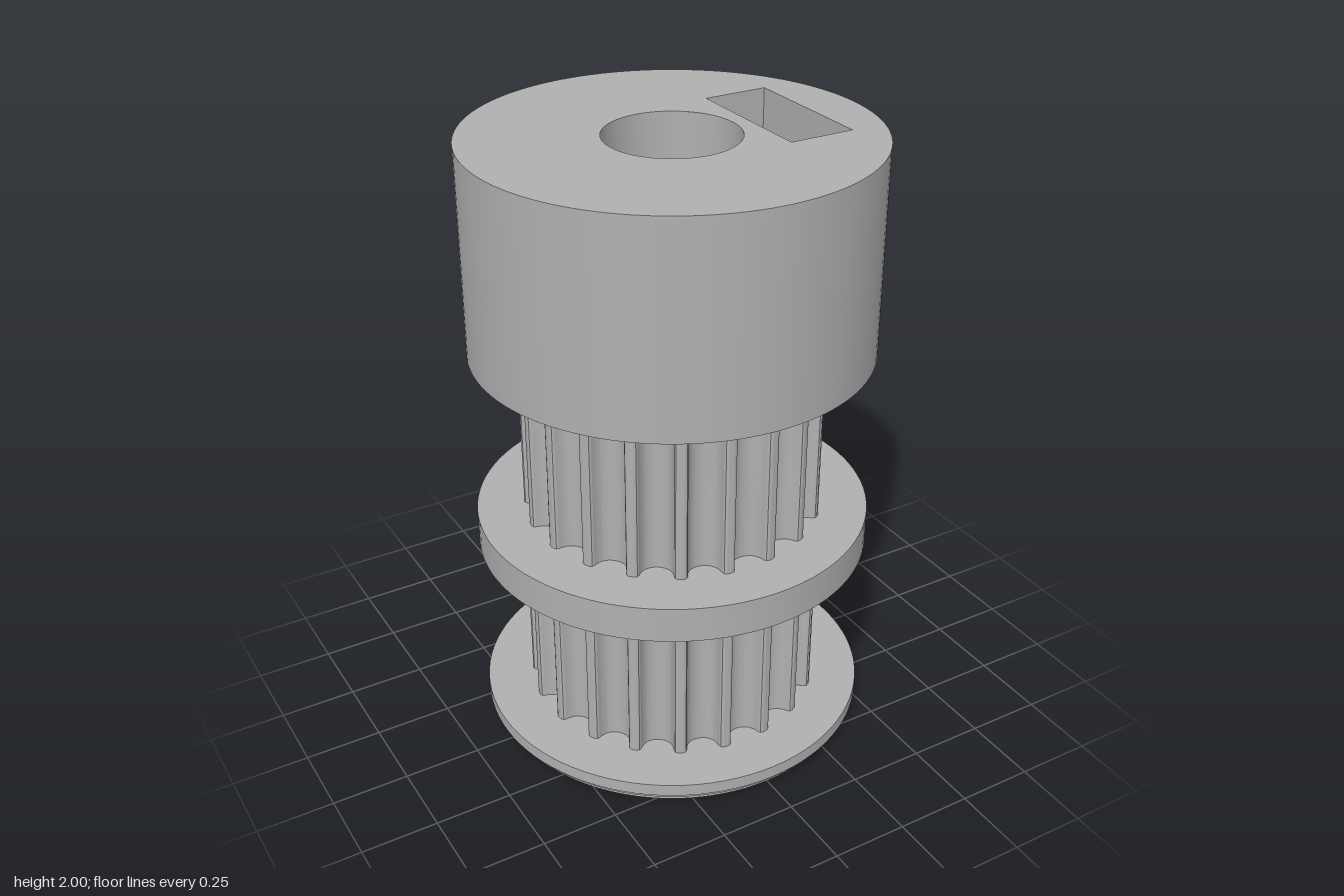
import * as THREE from 'three';
import { toCreasedNormals } from 'three/addons/utils/BufferGeometryUtils.js';
import { ParametricGeometry } from 'three/addons/geometries/ParametricGeometry.js';

const R = 0.638, BORE = 0.21, SEG = 96;
const HUB_Y = 1.325, TOP = 2;                 // hub extent
const HOLE_Y = 1.705, HOLE_R = 0.125;         // grub screw hole, along +x
const SLOT_IN = 0.26, SLOT_OUT = 0.475, SLOT_W = 0.235;
const TEETH = 20;

const metal = new THREE.MeshStandardMaterial({ color: 0xb0b0b0, side: THREE.DoubleSide });
metal.name = 'grey metal';

function add(group, name, geometry) {
  const mesh = new THREE.Mesh(geometry, metal);
  mesh.name = name;
  group.add(mesh);
  return mesh;
}

function circlePath(x, y, r) {
  return new THREE.Path().absarc(x, y, r, 0, Math.PI * 2, true);
}

// Solid of revolution with crisp corners; the profile is closed
function turned(points) {
  const pts = [...points, points[0]].map(([r, y]) => new THREE.Vector2(r, y));
  return toCreasedNormals(new THREE.LatheGeometry(pts, SEG), 0.5);
}

// Belt section: rounded grooves spaced evenly round the rim
function toothedCore(y0, y1) {
  const half = [[0.067, 0.4803], [0.0583, 0.4774], [0.0538, 0.47], [0.052, 0.4614], [0.0492, 0.4531],
    [0.0454, 0.4451], [0.0406, 0.4375], [0.0322, 0.4298], [0.0223, 0.4242], [0.0115, 0.4208]];
  const groove = [...half, [0, 0.4196], ...half.map(([x, r]) => [-x, r]).reverse()];
  const outline = [];
  for (let i = 0; i < TEETH; i++) {
    const a = -i * Math.PI * 2 / TEETH;
    for (const [x, r] of groove) {
      outline.push(new THREE.Vector2(x, r).rotateAround(new THREE.Vector2(), -a));
    }
  }
  const shape = new THREE.Shape(outline);
  shape.holes.push(circlePath(0, 0, BORE));
  const geo = new THREE.ExtrudeGeometry(shape, { depth: y1 - y0, bevelEnabled: false, curveSegments: SEG });
  geo.rotateX(-Math.PI / 2).translate(0, y0, 0);
  return toCreasedNormals(geo, 0.2);
}

// Cylinder wall patch round the screw hole, blending from circle to rectangle
function holedPatch(radius, halfWidth, flip) {
  return new ParametricGeometry((u, v, p) => {
    const a = (flip ? -u : u) * Math.PI * 2;
    const c = Math.cos(a), s = Math.sin(a), m = Math.max(Math.abs(c), Math.abs(s));
    const height = s > 0 ? TOP - HOLE_Y : HOLE_Y - HUB_Y;
    const z = THREE.MathUtils.lerp(HOLE_R * c, halfWidth * c / m, v);
    const y = HOLE_Y + THREE.MathUtils.lerp(HOLE_R * s, height * s / m, v);
    p.set(Math.sqrt(Math.max(0, radius * radius - z * z)), y, z);
  }, 64, 8);
}

// Remainder of that cylinder wall
function wallRest(radius, halfWidth) {
  const t = Math.asin(halfWidth / radius);
  return new THREE.CylinderGeometry(radius, radius, TOP - HUB_Y, SEG, 1, true,
    Math.PI / 2 + t, Math.PI * 2 - 2 * t).translate(0, (TOP + HUB_Y) / 2, 0);
}

// Screw hole wall between two x limits, each a function of z
function tunnel(xStart, xEnd) {
  return new ParametricGeometry((u, v, p) => {
    const a = u * Math.PI * 2, z = HOLE_R * Math.cos(a);
    p.set(THREE.MathUtils.lerp(xStart(z), xEnd(z), v), HOLE_Y + HOLE_R * Math.sin(a), z);
  }, 48, 1);
}

function createHub() {
  const hub = new THREE.Group();
  hub.name = 'hub';

  // Outer and bore walls
  add(hub, 'hubOuterWall', wallRest(R, 0.2));
  add(hub, 'hubOuterHolePatch', holedPatch(R, 0.2, false));
  add(hub, 'hubBoreWall', wallRest(BORE, 0.16));
  add(hub, 'hubBoreHolePatch', holedPatch(BORE, 0.16, true));

  // Top face with bore and nut slot, and plain bottom face
  const top = new THREE.Shape().absarc(0, 0, R, 0, Math.PI * 2);
  const slot = new THREE.Path([[SLOT_IN, -SLOT_W], [SLOT_IN, SLOT_W], [SLOT_OUT, SLOT_W], [SLOT_OUT, -SLOT_W]]
    .map(([x, y]) => new THREE.Vector2(x, y)));
  top.holes.push(circlePath(0, 0, BORE), slot);
  add(hub, 'hubTop', new THREE.ShapeGeometry(top, SEG).rotateX(-Math.PI / 2).translate(0, TOP, 0));
  add(hub, 'hubBottom', new THREE.RingGeometry(BORE, R, SEG).rotateX(Math.PI / 2).translate(0, HUB_Y, 0));

  // Nut slot: pointed floor and two holed faces
  const profile = [[-SLOT_W, TOP], [-SLOT_W, 1.57], [0, 1.435], [SLOT_W, 1.57], [SLOT_W, TOP]]
    .map(([z, y]) => new THREE.Vector2(z, y));
  const ribbon = new ParametricGeometry((u, v, p) => {
    const i = Math.min(3, Math.max(0, Math.floor(u * 4)));
    const q = profile[i].clone().lerp(profile[i + 1], u * 4 - i);
    p.set(THREE.MathUtils.lerp(SLOT_IN, SLOT_OUT, v), q.y, q.x);
  }, 4, 1);
  add(hub, 'nutSlotSides', toCreasedNormals(ribbon, 0.3));
  const face = new THREE.Shape(profile);
  face.holes.push(circlePath(0, HOLE_Y, HOLE_R));
  for (const [x, turn] of [[SLOT_IN, 1], [SLOT_OUT, -1]]) {
    add(hub, 'nutSlotFace', new THREE.ShapeGeometry(face, 48).rotateY(turn * Math.PI / 2).translate(x, 0, 0));
  }

  // Grub screw hole either side of the slot
  add(hub, 'screwHoleOuter', tunnel(() => SLOT_OUT, z => Math.sqrt(R * R - z * z)));
  add(hub, 'screwHoleInner', tunnel(z => Math.sqrt(BORE * BORE - z * z), () => SLOT_IN));
  return hub;
}

export function createModel() {
  const model = new THREE.Group();
  model.name = 'timingPulley';

  // Stepped base flange, with a stepped bore mouth
  add(model, 'baseFlange', turned([[0.242, 0], [0.61, 0], [0.61, 0.021], [0.625, 0.021], [0.625, 0.038],
    [R, 0.038], [R, 0.08], [BORE, 0.08], [BORE, 0.038], [0.226, 0.038], [0.226, 0.021], [0.242, 0.021]]));
  add(model, 'lowerTeeth', toothedCore(0.08, 0.645));
  add(model, 'middleFlange', turned([[BORE, 0.645], [R, 0.645], [R, 0.763], [BORE, 0.763]]));
  add(model, 'upperTeeth', toothedCore(0.763, HUB_Y));
  model.add(createHub());
  return model;
}
